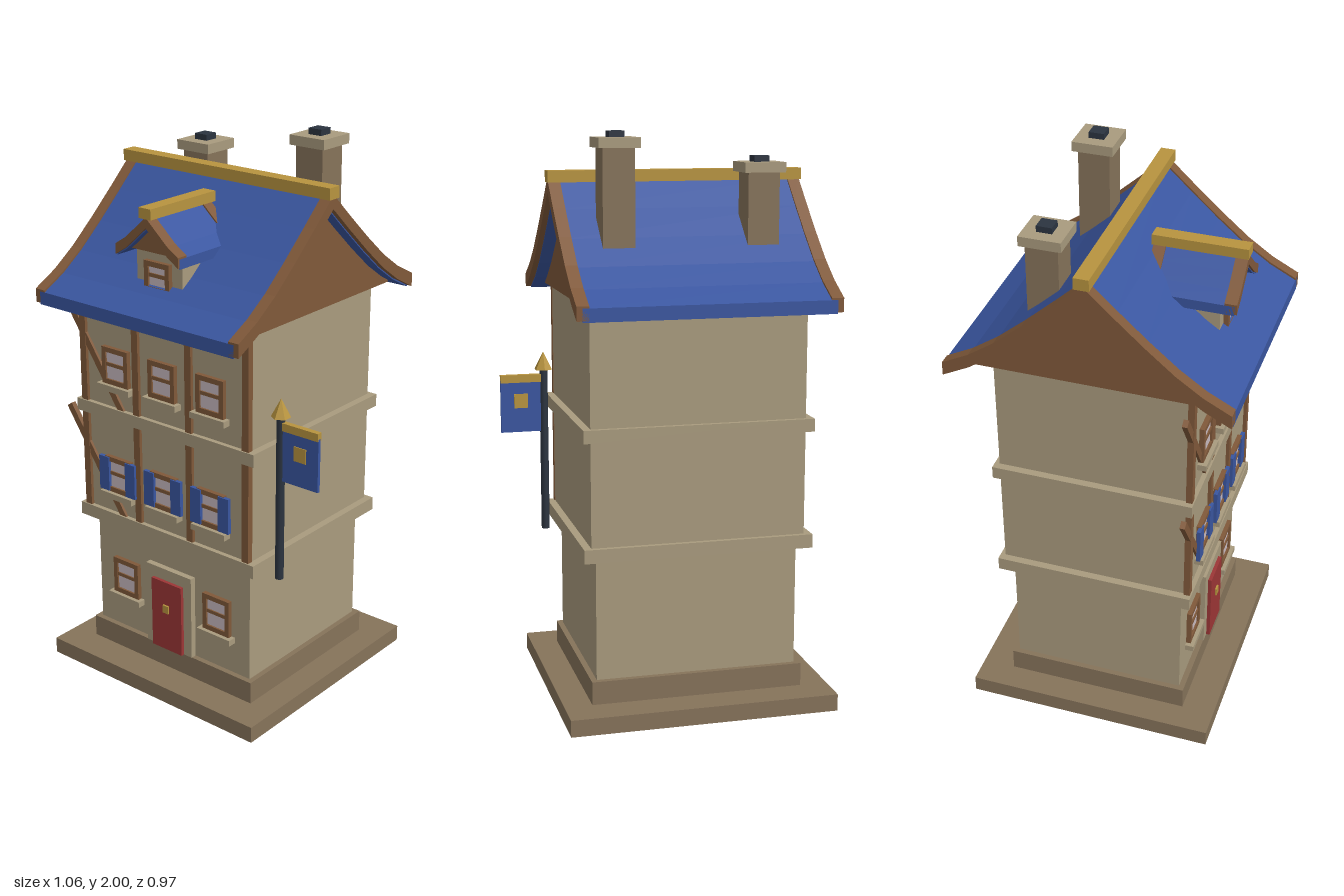
import * as THREE from 'three';

const mat = (name, color) => {
  const m = new THREE.MeshStandardMaterial({ color });
  m.name = name;
  return m;
};

export function createModel() {
  const wall = mat('plaster', 0xa99b7e);
  const stone = mat('darkStone', 0x86735a);
  const wood = mat('timber', 0x80593a);
  const blue = mat('blueTile', 0x3a56a0);
  const gold = mat('gold', 0xb8943f);
  const red = mat('redDoor', 0x9c3636);
  const glass = mat('paleGlass', 0xc9bbc0);
  const iron = mat('darkIron', 0x2c3440);

  const model = new THREE.Group();
  model.name = 'townhouse';
  const CX = -0.06; // house axis; the flag hangs out to the left

  const add = (parent, name, geo, material, x = 0, y = 0, z = 0) => {
    const m = new THREE.Mesh(geo, material);
    m.name = name;
    m.position.set(x, y, z);
    parent.add(m);
    return m;
  };
  const box = (parent, name, material, w, h, d, x, y, z) =>
    add(parent, name, new THREE.BoxGeometry(w, h, d), material, x, y, z);
  const group = (name, x, y, z, parent = model) => {
    const g = new THREE.Group();
    g.name = name;
    g.position.set(x, y, z);
    parent.add(g);
    return g;
  };

  // Stacked storeys: name, material, half width, half depth, bottom, top
  [
    ['base', stone, 0.475, 0.447, 0, 0.06],
    ['plinth', stone, 0.377, 0.33, 0.06, 0.142],
    ['groundFloor', wall, 0.357, 0.31, 0.142, 0.575],
    ['lowerBand', wall, 0.404, 0.352, 0.572, 0.62],
    ['middleFloor', wall, 0.377, 0.335, 0.62, 0.985],
    ['upperBand', wall, 0.404, 0.352, 0.985, 1.03],
    ['topFloor', wall, 0.377, 0.335, 1.03, 1.43],
  ].forEach(([n, m, hw, hd, y0, y1]) => box(model, n, m, hw * 2, y1 - y0, hd * 2, CX, (y0 + y1) / 2, 0));

  // Timber posts and the diagonal brace on both upper floors
  for (const [y0, y1] of [[0.62, 0.985], [1.03, 1.43]]) {
    for (const px of [-0.37, -0.123, 0.117, 0.365])
      box(model, 'post', wood, 0.028, y1 - y0, 0.022, CX + px, (y0 + y1) / 2, 0.336);
    const brace = box(model, 'brace', wood, 0.026, 0.46, 0.018, -0.383, (y0 === 0.62 ? 0.8 : 1.213), 0.336);
    brace.rotation.z = Math.atan2(0.25, 0.37);
  }

  // Windows
  function addWindow(x, y, z, w, h, { sill = true, shutters = false } = {}) {
    const g = group('window', x, y, z);
    const t = 0.018;
    box(g, 'pane', glass, w - t, h - t, 0.008, 0, 0, 0.006);
    for (const s of [-1, 1]) {
      box(g, 'frameSide', wood, t, h, 0.02, s * (w - t) / 2, 0, 0.007);
      box(g, 'frameRail', wood, w - 2 * t, t, 0.02, 0, s * (h - t) / 2, 0.007);
      if (shutters) box(g, 'shutter', blue, 0.046, 0.13, 0.014, s * 0.062, 0, 0.015);
    }
    box(g, 'transom', wood, w - 2 * t, 0.013, 0.016, 0, 0.005, 0.007);
    if (sill) box(g, 'sill', wall, 0.15, 0.022, 0.035, 0, -h / 2 - 0.011, 0.014);
  }
  for (const dx of [-0.215, 0, 0.215]) {
    if (dx) addWindow(CX + dx, 0.354, 0.31, 0.12, 0.14);
    addWindow(CX + dx, 0.773, 0.335, 0.12, 0.135, { shutters: true });
    addWindow(CX + dx, 1.188, 0.335, 0.12, 0.135);
  }

  // Front door
  const door = group('frontDoor', CX, 0.142, 0.31);
  box(door, 'doorSurround', wall, 0.213, 0.318, 0.024, 0, 0.159, 0.01);
  box(door, 'doorLeaf', red, 0.14, 0.274, 0.016, 0, 0.137, 0.027);
  box(door, 'doorKnob', gold, 0.026, 0.03, 0.01, 0, 0.168, 0.037);

  // Curved gable roof running along local z; half profile is [distance, height] from ridge to eave
  function curvedRoof(name, profile, t, halfLen, board, lip, gableY, gableHalf, gableMax) {
    const g = new THREE.Group();
    g.name = name;
    const slab = (dy, thick) => {
      const top = [...profile.map(([d, y]) => [-d, y + dy]).reverse(), ...profile.slice(1).map(([d, y]) => [d, y + dy])];
      const under = top.map(([d, y]) => [d, y - thick]).reverse();
      return new THREE.Shape([...top, ...under].map((p) => new THREE.Vector2(...p)));
    };
    const extrude = (n, shape, len, material, z) => add(g, n,
      new THREE.ExtrudeGeometry(shape, { depth: len, bevelEnabled: false }), material, 0, 0, z - len / 2);
    extrude('roofTiles', slab(-0.004, t), (halfLen - lip) * 2, blue, 0);
    for (const s of [-1, 1]) extrude('bargeBoard', slab(0.003, t + 0.002), board, wood, s * (halfLen - board / 2));
    // Filled gable under the slope
    const inner = profile.filter(([d]) => d < gableMax).map(([d, y]) => [d, y - t / 2]);
    inner.push([gableMax, gableY]);
    const pts = [...inner.map(([d, y]) => [-d, y]).reverse(), ...inner.slice(1)];
    extrude('gable', new THREE.Shape(pts.map((p) => new THREE.Vector2(...p))), gableHalf * 2, wood, 0);
    model.add(g);
    return g;
  }

  // Main roof
  const mainProfile = [[0, 1.835], [0.1, 1.742], [0.2, 1.652], [0.3, 1.568], [0.39, 1.506], [0.483, 1.458]];
  const roof = curvedRoof('mainRoof', mainProfile, 0.046, 0.449, 0.042, 0.02, 1.43, 0.385, 0.43);
  roof.rotation.y = Math.PI / 2;
  roof.position.x = CX;
  box(model, 'ridgeCap', gold, 0.905, 0.04, 0.052, CX, 1.844, 0);

  // Dormer
  const dormerProfile = [[0, 1.768], [0.045, 1.728], [0.09, 1.688], [0.137, 1.658]];
  const dormer = curvedRoof('dormerRoof', dormerProfile, 0.034, 0.158, 0.042, 0.008, 1.645, 0.122, 0.112);
  dormer.position.set(CX, 0, 0.25);
  box(model, 'dormerBody', wall, 0.2, 0.14, 0.26, CX, 1.59, 0.215);
  box(model, 'dormerRidgeCap', gold, 0.052, 0.036, 0.322, CX, 1.784, 0.251);
  addWindow(CX, 1.557, 0.345, 0.11, 0.105, { sill: false });

  // Chimneys on the rear slope
  for (const [x, top] of [[0.193, 1.945], [-0.308, 1.86]]) {
    const c = group('chimney', x, top, -0.182);
    box(c, 'shaft', stone, 0.11, top - 1.5, 0.11, 0, (1.5 - top) / 2, 0);
    box(c, 'chimneyCap', wall, 0.143, 0.034, 0.143, 0, 0.017, 0);
    box(c, 'flue', iron, 0.053, 0.022, 0.053, 0, 0.044, 0);
  }

  // Flagpole with banner
  const flag = group('flagpole', 0.37, 0, 0.24);
  add(flag, 'pole', new THREE.CylinderGeometry(0.015, 0.015, 0.6, 8), iron, 0, 0.84, 0);
  add(flag, 'finial', new THREE.ConeGeometry(0.034, 0.065, 6).toNonIndexed(), gold, 0, 1.17, 0)
    .geometry.computeVertexNormals();
  box(flag, 'banner', blue, 0.147, 0.19, 0.012, 0.085, 1.005, 0);
  box(flag, 'bannerRail', gold, 0.147, 0.028, 0.02, 0.085, 1.107, 0);
  box(flag, 'bannerEmblem', gold, 0.05, 0.052, 0.018, 0.085, 1.025, 0);

  return model;
}
